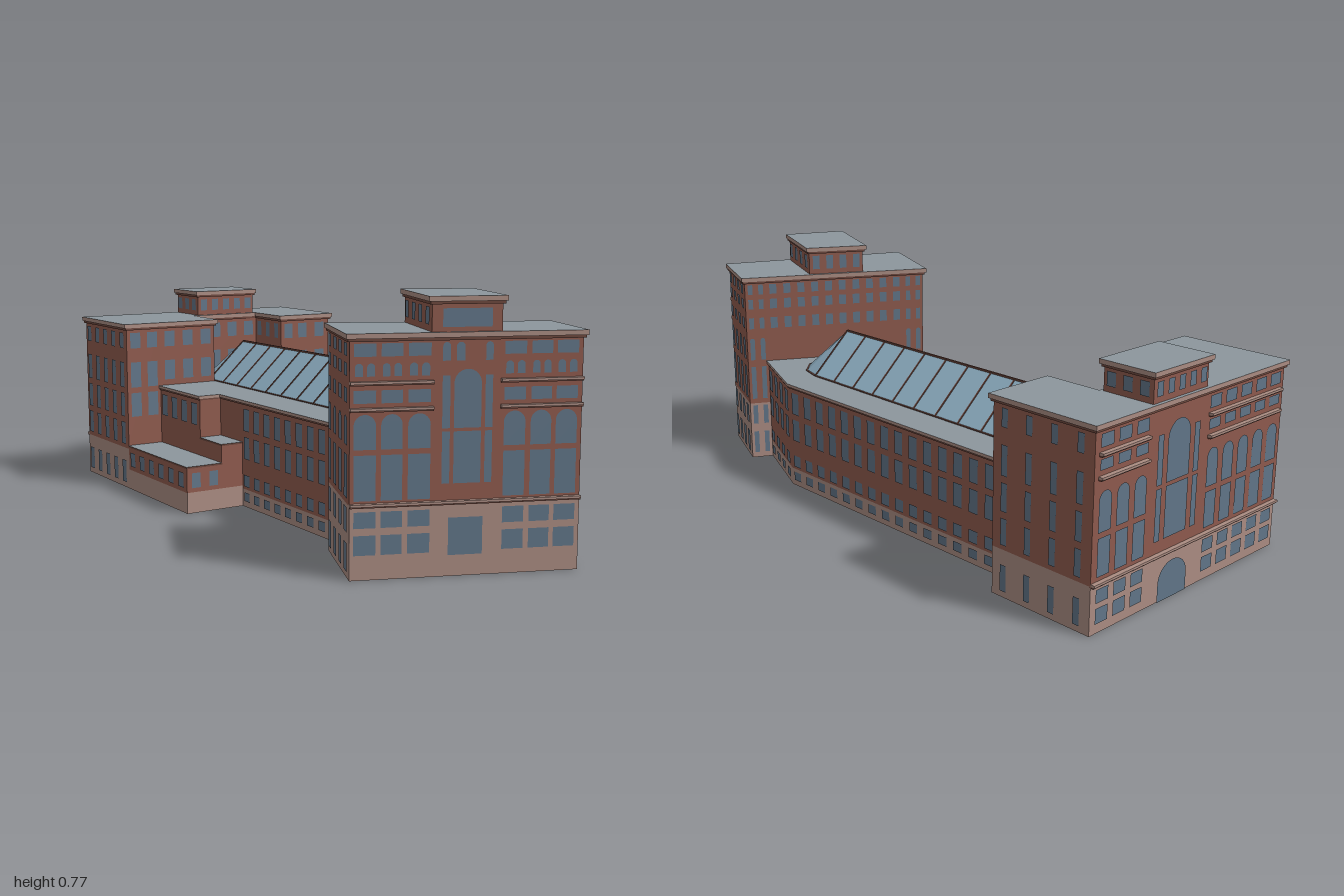
import * as THREE from 'three';

const mat = (name, color, extra = {}) => new THREE.MeshStandardMaterial({ name, color, ...extra });
const D = { side: THREE.DoubleSide };
const brick = mat('brick', 0x8e5a4d, D);
const stone = mat('paleStone', 0xaa8c82, D);
const glass = mat('windowGlass', 0x617588);
const roofGrey = mat('roofGrey', 0x8c969d);
const skylightGlass = mat('skylightGlass', 0x8fb0c4, { ...D, flatShading: true });
const trim = mat('darkTrim', 0x6b463c);

function add(parent, name, geometry, material) {
  const mesh = new THREE.Mesh(geometry, material);
  mesh.name = name;
  parent.add(mesh);
  return mesh;
}

// Pushes a plan outline [x, z] outward by o with mitred corners
function outset(pts, o) {
  const n = pts.length;
  const normal = (a, b) => {
    const dx = b[0] - a[0], dz = b[1] - a[1], l = Math.hypot(dx, dz);
    return [-dz / l, dx / l];
  };
  return pts.map((p, i) => {
    const a = normal(pts[(i + n - 1) % n], p), b = normal(p, pts[(i + 1) % n]);
    const k = o / (1 + a[0] * b[0] + a[1] * b[1]);
    return [p[0] + (a[0] + b[0]) * k, p[1] + (a[1] + b[1]) * k];
  });
}

// Flat slab over a plan outline: roof colour on its caps, edge colour around it
function slab(parent, name, pts, o, y, h, edge) {
  const shape = new THREE.Shape(outset(pts, o).map(([x, z]) => new THREE.Vector2(x, -z)));
  const geo = new THREE.ExtrudeGeometry(shape, { depth: h, bevelEnabled: false });
  geo.rotateX(-Math.PI / 2);
  add(parent, name, geo, [roofGrey, edge]).position.y = y;
}

// One wall face: local x runs from a to b, local z points outward
function face(parent, name, a, b) {
  const g = new THREE.Group();
  g.name = name;
  g.position.set(a[0], 0, a[1]);
  g.rotation.y = Math.atan2(-(b[1] - a[1]), b[0] - a[0]);
  g.userData.length = Math.hypot(b[0] - a[0], b[1] - a[1]);
  parent.add(g);
  return g;
}

function panel(g, name, y0, y1, material) {
  const l = g.userData.length;
  if (y1 > y0) add(g, name, new THREE.PlaneGeometry(l, y1 - y0).translate(l / 2, (y0 + y1) / 2, 0), material);
}

// Window panes [u0, u1, y0, y1, arched], u being a fraction of the wall length
function windows(g, panes) {
  const l = g.userData.length;
  const shapes = panes.map(([u0, u1, y0, y1, arched]) => {
    const a = u0 * l, b = u1 * l, r = arched ? Math.min((b - a) / 2, (y1 - y0) / 2) : 0;
    const s = new THREE.Shape().moveTo(a, y0).lineTo(b, y0).lineTo(b, y1 - r);
    if (arched) s.absellipse((a + b) / 2, y1 - r, (b - a) / 2, r, 0, Math.PI, false);
    else s.lineTo(a, y1);
    return s;
  });
  add(g, 'windows', new THREE.ShapeGeometry(shapes, 8).translate(0, 0, 0.003), glass);
}

// Even grid of panes between two fractions of a wall
function grid(cols, rows, fill = 0.5, u0 = 0, u1 = 1) {
  const w = (u1 - u0) / cols, out = [];
  for (const [y0, y1, arched] of rows)
    for (let i = 0; i < cols; i++) {
      const c = u0 + (i + 0.5) * w;
      out.push([c - w * fill / 2, c + w * fill / 2, y0, y1, arched]);
    }
  return out;
}

function belt(g, u0, u1, y) {
  const l = g.userData.length, w = (u1 - u0) * l, x = (u0 + u1) / 2 * l;
  add(g, 'beltCourse', new THREE.BoxGeometry(w, 0.007, 0.02).translate(x, y + 0.0035, 0.004), stone);
  add(g, 'beltShadowMoulding', new THREE.BoxGeometry(w, 0.004, 0.014).translate(x, y - 0.002, 0.003), trim);
}

// Open-bottomed volume; starts[i] is where the wall of edge i begins, null leaves it out
function building(parent, name, pts, starts, base, top, cornice = 1) {
  const g = new THREE.Group();
  g.name = name;
  parent.add(g);
  const faces = pts.map((p, i) => {
    if (starts[i] === null) return null;
    const f = face(g, name + 'Wall', p, pts[(i + 1) % pts.length]);
    panel(f, 'stoneBase', starts[i], base, stone);
    panel(f, 'brickWall', Math.max(starts[i], base), top - 0.004, brick);
    return f;
  });
  if (cornice) {
    slab(g, 'corniceLower', pts, 0.006 * cornice, top - 0.022 * cornice, 0.008 * cornice, trim);
    slab(g, 'roofAndCornice', pts, 0.011 * cornice, top - 0.014 * cornice, 0.014 * cornice, stone);
  } else slab(g, 'roof', pts, 0.002, top - 0.006, 0.006, trim);
  return faces;
}

function frontBlock(root) {
  const f = building(root, 'frontBlock',
    [[-0.41, 0.728], [0.187, 0.984], [0.285, 0.745], [0.22, 0.71], [-0.22, 0.475], [-0.285, 0.44]],
    [0, 0, 0, 0.36, 0, 0], 0.207, 0.672);
  // Main facade, laid out in x
  const u = x => (x + 0.41) / 0.597, panes = [];
  const put = (x0, x1, y0, y1, arched) => panes.push([u(x0), u(x1), y0, y1, arched]);
  for (const [a, b] of [[-0.4, -0.344], [-0.331, -0.277], [-0.263, -0.206], [-0.018, 0.038], [0.052, 0.106], [0.118, 0.174]]) {
    for (const [y0, y1] of [[0.07, 0.125], [0.145, 0.19], [0.22, 0.345], [0.485, 0.52], [0.61, 0.645]]) put(a, b, y0, y1);
    put(a, b, 0.36, 0.455, true);
    const m = (a + b) / 2;
    put(a + 0.003, m - 0.005, 0.557, 0.592, true);
    put(m + 0.005, b - 0.003, 0.557, 0.592, true);
  }
  put(-0.158, -0.069, 0.06, 0.165);
  put(-0.147, -0.077, 0.26, 0.403);
  put(-0.147, -0.077, 0.412, 0.572, true);
  for (const [a, b] of [[-0.177, -0.157], [-0.067, -0.048]]) {
    put(a, b, 0.26, 0.403);
    put(a, b, 0.412, 0.555);
    put(a, b, 0.595, 0.645, true);
  }
  put(-0.142, -0.12, 0.595, 0.645, true);
  windows(f[0], panes);
  belt(f[0], 0, 1, 0.206);
  for (const y of [0.466, 0.537]) {
    belt(f[0], 0, u(-0.2), y);
    belt(f[0], u(-0.027), 1, y);
  }
  // Sides and rear
  const upper = [[0.37, 0.45, true], [0.485, 0.525], [0.557, 0.592], [0.61, 0.645]];
  const all = [[0.02, 0.1], [0.13, 0.2], [0.225, 0.345], ...upper];
  windows(f[1], grid(4, all, 0.55));
  windows(f[2], grid(2, all, 0.45));
  windows(f[3], grid(10, upper.slice(1), 0.5));
  windows(f[4], grid(2, all, 0.45));
  windows(f[5], grid(4, all, 0.55));
  // Raised pavilion
  const p = building(root, 'frontPavilion', [[-0.205, 0.816], [-0.025, 0.893], [0.08, 0.635], [-0.09, 0.544]],
    [0.66, 0.66, 0.66, 0.66], 0, 0.768);
  windows(p[0], [[0.15, 0.85, 0.685, 0.735]]);
  for (const i of [1, 2, 3]) windows(p[i], grid(4, [[0.69, 0.738]], 0.5));
}

function backBlock(root) {
  const f = building(root, 'backBlock',
    [[-0.43, -0.63], [-0.3, -0.63], [-0.08, -0.63], [-0.08, -0.82], [0.21, -0.82], [0.21, -0.63], [0.335, -0.63],
      [0.425, -0.63], [0.425, -0.989], [-0.43, -0.989]],
    [0.157, 0.36, 0.36, 0.36, 0.36, 0.36, 0, 0, 0, 0], 0.145, 0.592);
  const top = [[0.385, 0.455], [0.505, 0.56]];
  const all = [[0.02, 0.1], [0.16, 0.24], [0.26, 0.345], [0.365, 0.455], [0.505, 0.56]];
  windows(f[0], grid(2, all.slice(2), 0.6));
  windows(f[1], grid(3, top, 0.55));
  windows(f[2], grid(3, top, 0.45));
  windows(f[3], grid(4, top, 0.55));
  windows(f[4], grid(3, top, 0.45));
  windows(f[5], grid(2, top, 0.6));
  windows(f[6], [...grid(1, all, 0.45)]);
  windows(f[7], grid(4, all, 0.25));
  windows(f[9], grid(5, all, 0.45));
  // Rear facade, laid out in x from the model's left to its right
  const u = x => (0.425 - x) / 0.855;
  const rows = [[0.03, 0.075], [0.09, 0.13], [0.165, 0.275], [0.29, 0.405, true], [0.463, 0.493], [0.525, 0.562]];
  const panes = [...grid(3, rows, 0.7, 0.01, u(0.2)), ...grid(5, rows, 0.7, u(-0.05), 0.99)];
  const put = (x0, x1, y0, y1, arched) => panes.push([u(x0), u(x1), y0, y1, arched]);
  put(0.14, 0.01, 0, 0.115, true);
  put(0.125, 0.025, 0.19, 0.345);
  put(0.125, 0.025, 0.355, 0.53, true);
  for (const x of [0.168, 0.006]) {
    put(x, x - 0.024, 0.19, 0.345);
    put(x, x - 0.024, 0.355, 0.5);
  }
  windows(f[8], panes);
  belt(f[8], 0, 1, 0.145);
  for (const y of [0.44, 0.505]) {
    belt(f[8], 0.02, u(0.21), y);
    belt(f[8], u(-0.06), 0.98, y);
  }
  // Raised pavilion
  const p = building(root, 'backPavilion', [[-0.045, -0.82], [0.195, -0.82], [0.195, -0.989], [-0.045, -0.989]],
    [0.585, 0.585, 0.585, 0.585], 0, 0.683);
  p.forEach((w, i) => windows(w, grid(i % 2 ? 3 : 5, [[0.61, 0.652]], 0.55)));
}

function hallAndWings(root) {
  const f = building(root, 'hall',
    [[-0.22, 0.475], [0.22, 0.71], [0.335, 0.43], [0.335, -0.63], [0.21, -0.63], [0.21, -0.82], [-0.08, -0.82],
      [-0.08, -0.63], [-0.3, -0.63], [-0.3, -0.33], [-0.22, -0.33], [-0.22, -0.18]],
    [null, 0, 0, null, null, null, null, null, 0.157, 0.22, 0.22, 0], 0.06, 0.364, 0.7);
  const rows = [[0.02, 0.05], [0.07, 0.11], [0.165, 0.24], [0.26, 0.335]];
  windows(f[1], grid(4, rows, 0.55));
  windows(f[2], grid(16, rows, 0.55));
  windows(f[8], grid(4, rows.slice(3), 0.55));
  windows(f[11], grid(10, rows, 0.55));
  // Low wing and its step
  const low = building(root, 'lowWing', [[-0.43, -0.18], [-0.3, -0.18], [-0.3, -0.33], [-0.3, -0.63], [-0.43, -0.63]],
    [0, null, null, null, 0], 0.07, 0.157, 0);
  windows(low[0], grid(2, [[0.085, 0.135]], 0.5));
  windows(low[4], grid(6, [[0.085, 0.135]], 0.5));
  building(root, 'wingStep', [[-0.3, -0.18], [-0.22, -0.18], [-0.22, -0.33], [-0.3, -0.33]],
    [0, null, null, 0.157], 0.07, 0.22, 0);
}

function skylight(root) {
  const g = new THREE.Group();
  g.name = 'skylight';
  root.add(g);
  const cx = 0.07, r = 0.147, zf = 0.44, zb = -0.675, y0 = 0.364, y1 = 0.5;
  const ridge = z => new THREE.Vector3(cx, y1, z);
  // Eave line with a faceted half-round at each end
  const eave = [];
  for (const [z, start] of [[zf, Math.PI], [zb, 0]])
    for (let i = 0; i <= 6; i++) {
      const a = start - i * Math.PI / 6;
      eave.push({ p: new THREE.Vector3(cx + r * Math.cos(a), y0, z + r * Math.sin(a)), top: ridge(z) });
    }
  const tris = [];
  eave.forEach((a, i) => {
    const b = eave[(i + 1) % eave.length];
    tris.push(a.p, b.p, b.top);
    if (a.top.z !== b.top.z) tris.push(a.p, b.top, a.top);
  });
  const geo = new THREE.BufferGeometry().setFromPoints(tris);
  geo.computeVertexNormals();
  add(g, 'skylightPanes', geo, skylightGlass);
  // Glazing bars
  const bar = (name, a, b, t) => {
    const m = add(g, name, new THREE.BoxGeometry(t, t, a.distanceTo(b)), trim);
    m.position.lerpVectors(a, b, 0.5);
    m.lookAt(b);
  };
  const n = 11;
  for (let i = 0; i <= n; i++) {
    const z = zb + (zf - zb) * i / n;
    for (const s of [-1, 1]) bar('glazingBar', new THREE.Vector3(cx + s * r, y0, z), ridge(z), 0.005);
  }
  bar('ridgeBar', ridge(zb), ridge(zf), 0.006);
  eave.forEach((a, i) => bar('eaveBar', a.p, eave[(i + 1) % eave.length].p, 0.006));
}

export function createModel() {
  const root = new THREE.Group();
  root.name = 'brickBuilding';
  frontBlock(root);
  backBlock(root);
  hallAndWings(root);
  skylight(root);
  return root;
}
